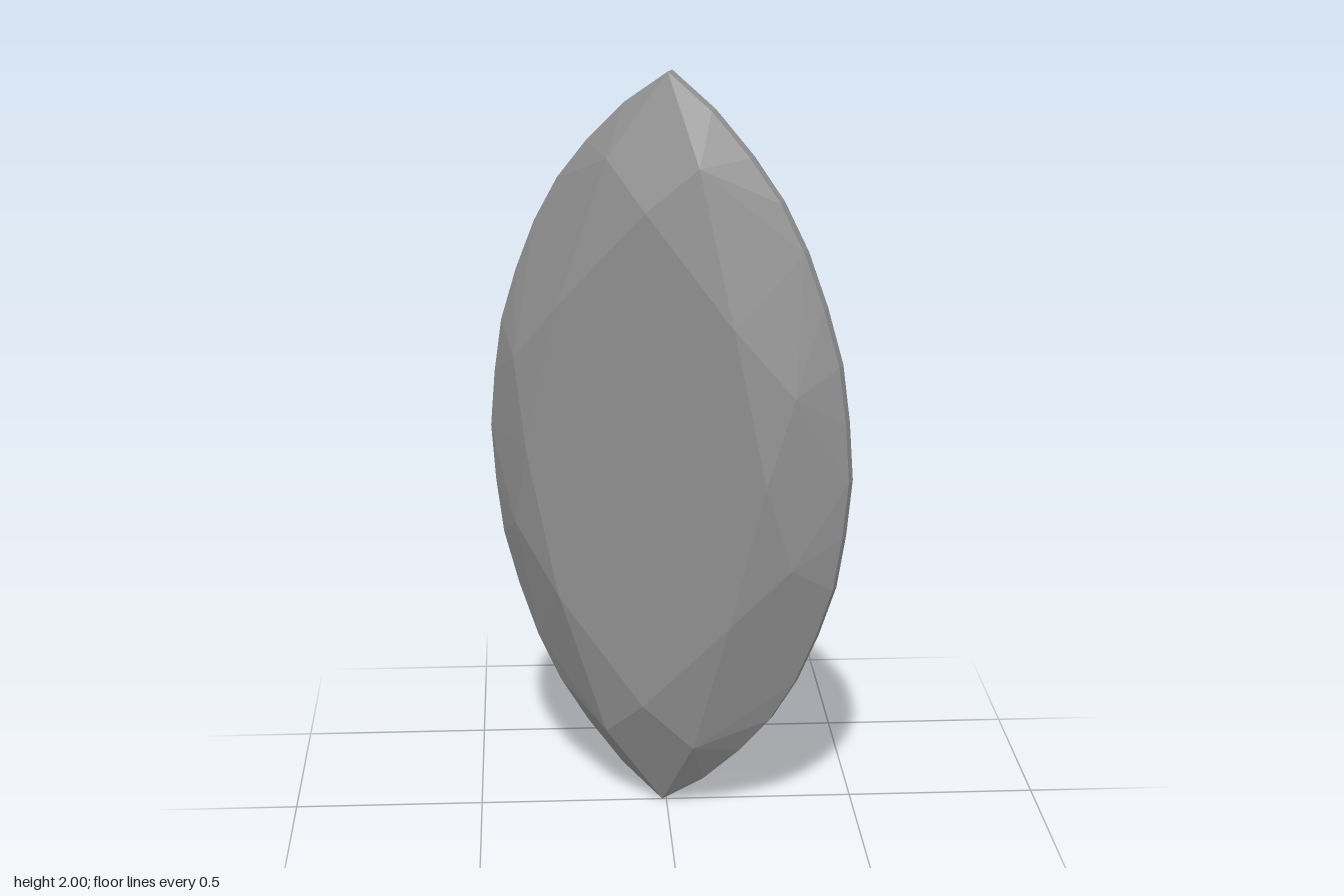
import * as THREE from 'three';

// Full counter-clockwise outline from the points of its first quarter
function ring(quarter, z) {
  const back = [...quarter].reverse();
  const all = [
    ...quarter,
    ...back.map(([x, y]) => [-x, y]),
    ...quarter.map(([x, y]) => [-x, -y]),
    ...back.map(([x, y]) => [x, -y]),
  ].map(([x, y]) => new THREE.Vector3(x, y, z));
  // drop the doubled points on the axes
  return all.filter((p, i) => p.distanceTo(all[(i + 1) % all.length]) > 1e-6);
}

// Flat facets, each a convex polygon fanned into triangles
function facets(name, polygons, material) {
  const points = [];
  for (const p of polygons)
    for (let i = 1; i < p.length - 1; i++) points.push(p[0], p[i], p[i + 1]);
  const geometry = new THREE.BufferGeometry().setFromPoints(points);
  geometry.computeVertexNormals();
  const mesh = new THREE.Mesh(geometry, material);
  mesh.name = name;
  return mesh;
}

export function createModel() {
  const gem = new THREE.Group();
  gem.name = 'marquiseGem';
  const flat = new THREE.MeshStandardMaterial({ color: 0x929292, flatShading: true });
  const smooth = new THREE.MeshStandardMaterial({ color: 0x929292 });

  // Pointed oval outlines, from the side to the tip
  const oval = [
    [0.51, 0], [0.497, 0.153], [0.475, 0.3], [0.43, 0.443], [0.375, 0.58],
    [0.308, 0.7], [0.225, 0.805], [0.12, 0.912], [0, 1],
  ];
  const upper = ring(oval, 0.014);
  const lower = ring(oval, -0.013);
  const count = upper.length;
  const table = ring([[0.34, 0], [0.245, 0.4], [0, 0.67]], 0.142);
  const mid = ring([[0.395, 0.23], [0.127, 0.785]], 0.099);

  // Crown: kites, star facets and paired girdle facets around the table
  const kites = [], stars = [], halves = [];
  for (let i = 0; i < 8; i++) {
    const rim = [0, 1, 2, 3, 4].map((k) => upper[(4 * i + k) % count]);
    kites.push([table[i], mid[(i + 7) % 8], rim[0], mid[i]]);
    stars.push([table[i], mid[i], table[(i + 1) % 8]]);
    halves.push([mid[i], ...rim]);
  }
  gem.add(facets('table', [table], flat));
  gem.add(facets('crownKites', kites, flat));
  gem.add(facets('crownStars', stars, flat));
  gem.add(facets('crownHalves', halves, flat));

  // Girdle: thin band around the widest outline
  const band = upper.map((p, i) => {
    const j = (i + 1) % count;
    return [p, lower[i], lower[j], upper[j]];
  });
  gem.add(facets('girdle', band, flat));

  // Pavilion: smooth cone with a diamond-shaped break just before the culet
  const corners = [[0.13, 0, -0.338], [0, 0.27, -0.305], [-0.13, 0, -0.338], [0, -0.27, -0.305]]
    .map((c) => new THREE.Vector3(...c));
  const side = count / 4;
  const inner = lower.map((_, i) => {
    const c = Math.floor(i / side);
    return corners[c].clone().lerp(corners[(c + 1) % 4], (i % side) / side);
  });
  const index = [];
  for (let i = 0; i < count; i++) {
    const j = (i + 1) % count;
    index.push(i, count + i, j, j, count + i, count + j, count + i, 2 * count, count + j);
  }
  const cone = new THREE.BufferGeometry()
    .setFromPoints([...lower, ...inner, new THREE.Vector3(0, 0, -0.405)]);
  cone.setIndex(index);
  cone.computeVertexNormals();
  const pavilion = new THREE.Mesh(cone, smooth);
  pavilion.name = 'pavilion';
  gem.add(pavilion);

  // Turned towards the right and leaning slightly forward
  gem.rotation.set(0.049, -0.484, -0.005);
  gem.position.set(0, 1, 0.039);
  const root = new THREE.Group();
  root.name = 'gem';
  root.add(gem);
  return root;
}
